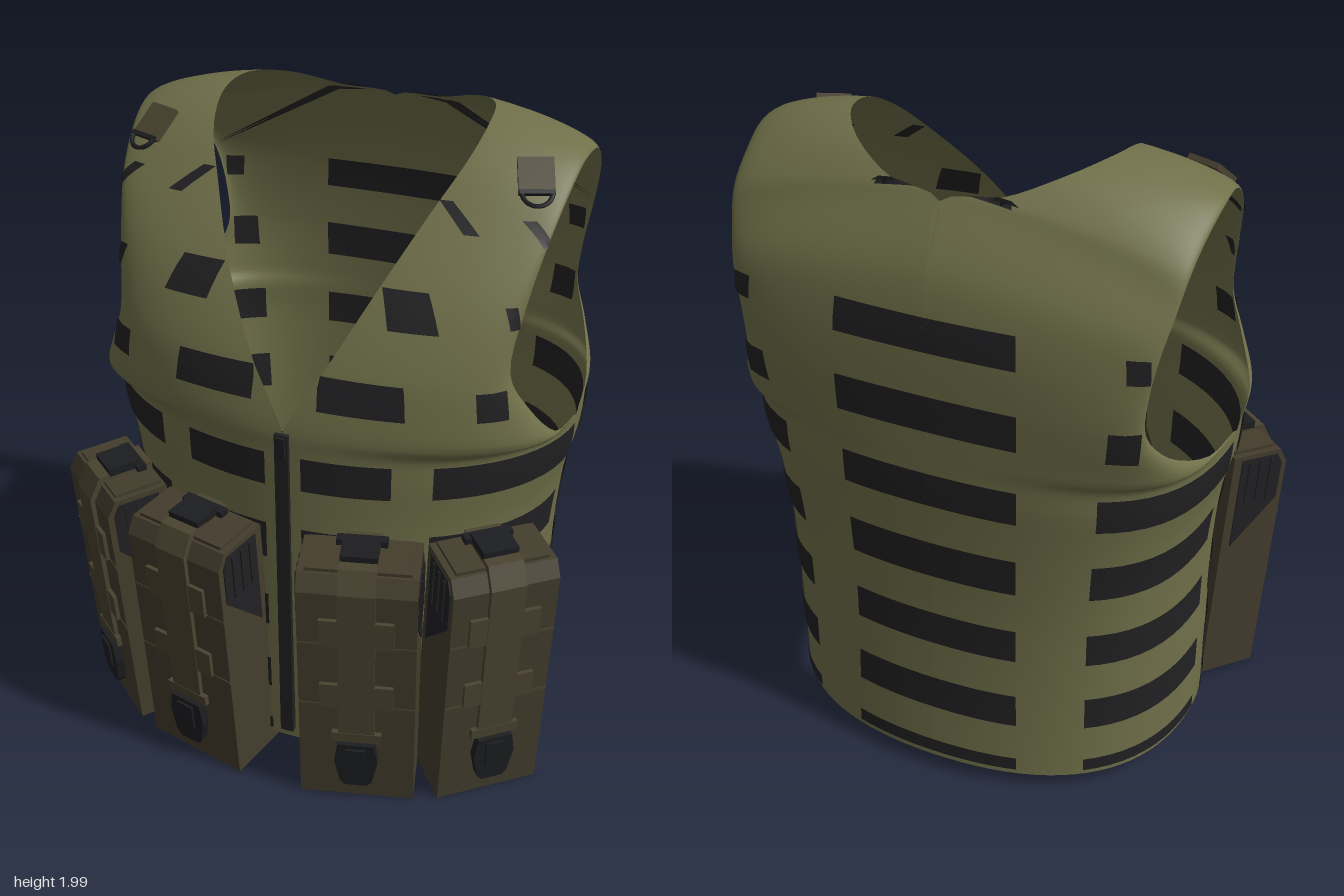
import * as THREE from 'three';
import { mergeGeometries } from 'three/addons/utils/BufferGeometryUtils.js';

const mat = (name, color, side = THREE.FrontSide) => new THREE.MeshStandardMaterial({ name, color, side });
const olive = mat('olive cloth', 0x70704a, THREE.DoubleSide);
const black = mat('black webbing', 0x212123, THREE.DoubleSide);
const brown = mat('brown pouch cloth', 0x443d2d);
const strapBrown = mat('strap brown', 0x4a4330);
const plastic = mat('buckle plastic', 0x1c1d20);

// Torso rows: y, front z, back z, side x, front roundness, back roundness
const torso = [
  [0.06, 0.42, -0.64, 0.67, 0.72, 0.95],
  [0.35, 0.425, -0.62, 0.67, 0.72, 1.05],
  [0.65, 0.43, -0.61, 0.67, 0.72, 1.15],
  [0.9, 0.43, -0.615, 0.69, 0.72, 1.25],
  [1.06, 0.43, -0.62, 0.725, 0.74, 1.3],
  [1.14, 0.43, -0.62, 0.73, 0.75, 1.3],
];
// Rows over the shoulder: neck edge xyz, armhole edge xyz, roundness
const shoulder = [
  [0, 1.2, 0.43, 0.71, 1.18, 0.1, 0.75],
  [0.05, 1.3, 0.41, 0.65, 1.29, 0.19, 0.7],
  [0.11, 1.4, 0.38, 0.6, 1.41, 0.23, 0.65],
  [0.215, 1.6, 0.28, 0.62, 1.6, 0.17, 0.55],
  [0.32, 1.8, 0.12, 0.65, 1.76, 0.08, 0.5],
  [0.385, 1.92, 0, 0.67, 1.86, -0.03, 0.5],
  [0.405, 1.985, -0.12, 0.68, 1.91, -0.13, 0.5],
  [0.385, 2, -0.25, 0.685, 1.91, -0.24, 0.5],
  [0.3, 1.975, -0.37, 0.675, 1.86, -0.35, 0.5],
  [0.16, 1.925, -0.455, 0.665, 1.79, -0.44, 0.55],
  [0, 1.9, -0.49, 0.65, 1.7, -0.49, 0.6],
  [0, 1.75, -0.575, 0.63, 1.6, -0.53, 0.7],
  [0, 1.6, -0.61, 0.61, 1.48, -0.54, 0.8],
  [0, 1.4, -0.62, 0.605, 1.36, -0.53, 1],
  [0, 1.3, -0.62, 0.65, 1.26, -0.46, 1.1],
  [0, 1.2, -0.62, 0.71, 1.17, -0.28, 1.25],
];
const SEAM_Z = -0.08;
const rows = [
  ...torso.map(([y, zf, , x, w]) => [0, y, zf, x, y, SEAM_Z, w]),
  ...shoulder,
  ...torso.map(([y, , zb, x, , w]) => [0, y, zb, x, y, SEAM_Z, w]).reverse(),
];
const LAST = rows.length - 1;
const TOP = torso.length + 7;
const innerEdge = new THREE.CatmullRomCurve3(rows.map(r => new THREE.Vector3(r[0], r[1], r[2])));
const outerEdge = new THREE.CatmullRomCurve3(rows.map(r => new THREE.Vector3(r[3], r[4], r[5])));

// Point on the half vest: s runs front hem > shoulder > back hem, u runs centre > side
function vestPoint(s, u) {
  const a = innerEdge.getPoint(s / LAST), b = outerEdge.getPoint(s / LAST);
  const i = Math.min(Math.floor(s), LAST - 1);
  const w = THREE.MathUtils.lerp(rows[i][6], rows[i + 1][6], s - i);
  const c = new THREE.Vector3(b.x, THREE.MathUtils.lerp(a.y, b.y, 0.35), a.z);
  const k0 = (1 - u) ** 2, k1 = 2 * w * u * (1 - u), k2 = u * u;
  return a.multiplyScalar(k0).addScaledVector(c, k1).addScaledVector(b, k2).divideScalar(k0 + k1 + k2);
}

function vestNormal(s, u) {
  const e = 0.01, cl = THREE.MathUtils.clamp;
  const ds = vestPoint(cl(s + e, 0, LAST), u).sub(vestPoint(cl(s - e, 0, LAST), u));
  const du = vestPoint(s, cl(u + e, 0, 1)).sub(vestPoint(s, cl(u - e, 0, 1)));
  return du.cross(ds).normalize();
}

// Surface from a function of two 0..1 parameters
function grid(fn, nu, nv) {
  const pos = [], idx = [];
  for (let j = 0; j <= nv; j++) for (let i = 0; i <= nu; i++) pos.push(...fn(i / nu, j / nv).toArray());
  for (let j = 0; j < nv; j++) for (let i = 0; i < nu; i++) {
    const a = j * (nu + 1) + i, c = a + nu + 1;
    idx.push(a, a + 1, c, a + 1, c + 1, c);
  }
  const g = new THREE.BufferGeometry();
  g.setAttribute('position', new THREE.Float32BufferAttribute(pos, 3));
  g.setIndex(idx);
  g.computeVertexNormals();
  return g;
}

function solve(f, target, lo, hi) {
  const rising = f(hi) > f(lo);
  for (let k = 0; k < 16; k++) {
    const m = (lo + hi) / 2;
    if ((f(m) < target) === rising) lo = m; else hi = m;
  }
  return (lo + hi) / 2;
}

// Finds s, u at a bearing (degrees from the front) and a height
function locate(bearing, y) {
  const [s0, s1] = bearing < 90 ? [0, TOP] : [TOP, LAST];
  const angle = p => THREE.MathUtils.radToDeg(Math.atan2(p.x, p.z + 0.1));
  let s = 0, u = 0.5;
  for (let k = 0; k < 6; k++) {
    s = solve(t => vestPoint(t, u).y, y, s0, s1);
    u = solve(t => angle(vestPoint(s, t)), bearing, 0, 1);
  }
  return [s, u];
}

// Webbing patch, seen on both faces of the cloth
function patch(b0, b1, y0, y1) {
  const nu = Math.max(2, Math.ceil((b1 - b0) / 4)), nv = 3, cells = [];
  for (let j = 0; j <= nv; j++) for (let i = 0; i <= nu; i++) {
    const [s, u] = locate(b0 + (b1 - b0) * i / nu, y0 + (y1 - y0) * j / nv);
    cells.push([vestPoint(s, u), vestNormal(s, u)]);
  }
  return [0.006, -0.006].map(off => grid((a, b) => {
    const [p, n] = cells[Math.round(b * nv) * (nu + 1) + Math.round(a * nu)];
    return p.clone().addScaledVector(n, off);
  }, nu, nv));
}

function add(parent, name, geometry, material, x = 0, y = 0, z = 0) {
  const m = new THREE.Mesh(geometry, material);
  m.name = name;
  m.position.set(x, y, z);
  parent.add(m);
  return m;
}
const box = (w, h, d) => new THREE.BoxGeometry(w, h, d);
const extrude = (pts, depth) => new THREE.ExtrudeGeometry(
  new THREE.Shape(pts.map(p => new THREE.Vector2(...p))), { depth, bevelEnabled: false });
// Extrudes a (z, y) side profile across x, centred
const sideExtrude = (pts, width) => extrude(pts.map(([z, y]) => [-z, y]), width)
  .translate(0, 0, -width / 2).rotateY(Math.PI / 2);

function pouch(name, x, z, yaw, W) {
  const g = new THREE.Group(), D = 0.2, f = D / 2;
  g.name = name;
  add(g, 'pouchBody', sideExtrude([[-f, 0], [f, 0], [f, 0.81], [f - 0.03, 0.86], [-f, 0.86]], W), brown);
  add(g, 'pouchFlap', box(W - 0.04, 0.015, D - 0.05), brown, 0, 0.863, -0.015);
  // Ribbed side gussets
  for (const side of [-1, 1]) {
    add(g, 'sideGusset', sideExtrude([[-0.07, 0.52], [0.08, 0.68], [0.08, 0.81], [0.06, 0.845], [-0.07, 0.845]], 0.008),
      black, side * W / 2);
    for (const rz of [-0.04, 0, 0.04]) add(g, 'gussetRib', box(0.008, 0.15, 0.012), black, side * (W / 2 + 0.005), 0.76, rz);
  }
  // Closing strap over the lid and bands across the front
  add(g, 'closingStrap', sideExtrude([[f, 0.2], [f + 0.014, 0.2], [f + 0.014, 0.82], [f - 0.025, 0.885], [-f, 0.885], [-f, 0.86], [f - 0.03, 0.86], [f, 0.81]], 0.11), strapBrown);
  for (const [y, h] of [[0.67, 0.1], [0.425, 0.09]]) {
    add(g, 'frontBand', box(0.22, h, 0.016), strapBrown, 0, y, f + 0.004);
    add(g, 'bandSeam', box(W, 0.008, 0.004), strapBrown, 0, y - h / 2, f);
  }
  add(g, 'strapAnchor', box(0.15, 0.035, 0.02), strapBrown, 0, 0.26, f + 0.006);
  // Front buckle
  add(g, 'buckle', extrude([[-0.035, 0.07], [0.035, 0.07], [0.05, 0.09], [0.066, 0.17], [0.055, 0.24], [-0.055, 0.24], [-0.066, 0.17], [-0.05, 0.09]], 0.028),
    plastic, 0, 0, f);
  add(g, 'buckleTongue', box(0.06, 0.09, 0.012), plastic, 0, 0.18, f + 0.03);
  // Buckle on the lid
  add(g, 'lidBuckle', box(0.11, 0.025, 0.1), plastic, 0, 0.892, -0.01);
  add(g, 'lidBuckleBar', box(0.15, 0.02, 0.03), plastic, 0, 0.885, -0.06);
  g.rotation.set(0.07, yaw, 0, 'YXZ');
  g.position.set(x, 0.015, z);
  return g;
}

export function createModel() {
  const model = new THREE.Group();
  model.name = 'vest';
  const half = new THREE.Group();
  half.name = 'leftHalf';

  add(half, 'clothPanel', grid((u, v) => vestPoint(v * LAST, u), 24, LAST * 4), olive);

  // Webbing: four patches in each torso row
  const patches = [];
  for (const [y0, y1] of [[0.08, 0.125], [0.255, 0.37], [0.505, 0.62], [0.76, 0.885], [1.02, 1.13]])
    for (const [b0, b1] of [[6, 33], [44, 86], [92, 133], [152, 180]]) patches.push(...patch(b0, b1, y0, y1));
  // Webbing on the upper back, chest and straps
  for (const [b0, b1, y0, y1] of [
    [152, 180, 1.75, 1.86], [152, 180, 1.52, 1.62], [152, 180, 1.27, 1.385],
    [127, 133, 1.28, 1.38], [126, 130, 1.53, 1.6], [118.5, 122, 1.75, 1.81],
    [11, 36, 1.285, 1.385], [52, 59, 1.29, 1.375], [33, 46, 1.525, 1.625],
    [61, 63.5, 1.54, 1.6], [60, 63, 1.76, 1.83], [72, 74, 1.74, 1.8],
  ]) patches.push(...patch(b0, b1, y0, y1));
  add(half, 'webbing', mergeGeometries(patches), black);

  // Shoulder tab with a D ring
  const tab = new THREE.Group();
  tab.name = 'shoulderTab';
  const n = vestNormal(11, 0.5);
  if (n.y < 0) n.negate();
  tab.position.copy(vestPoint(11, 0.5)).addScaledVector(n, 0.008);
  tab.lookAt(tab.position.clone().add(n));
  add(tab, 'tabCloth', box(0.1, 0.11, 0.016), strapBrown);
  add(tab, 'ringArc', new THREE.TorusGeometry(0.042, 0.007, 6, 16, Math.PI).rotateZ(Math.PI), plastic, 0, -0.055, 0.008);
  add(tab, 'ringBar', box(0.098, 0.013, 0.013), plastic, 0, -0.055, 0.008);
  half.add(tab);

  half.add(pouch('innerPouch', 0.25, 0.44, 0.25, 0.35));
  half.add(pouch('outerPouch', 0.575, 0.28, 0.7, 0.33));

  const mirrored = half.clone();
  mirrored.name = 'rightHalf';
  mirrored.scale.x = -1;
  model.add(half, mirrored);

  // Front zip
  add(model, 'zip', box(0.042, 1.1, 0.026), black, 0, 0.65, 0.43);
  add(model, 'zipPull', box(0.03, 0.07, 0.012), plastic, 0, 1.16, 0.449);
  return model;
}
